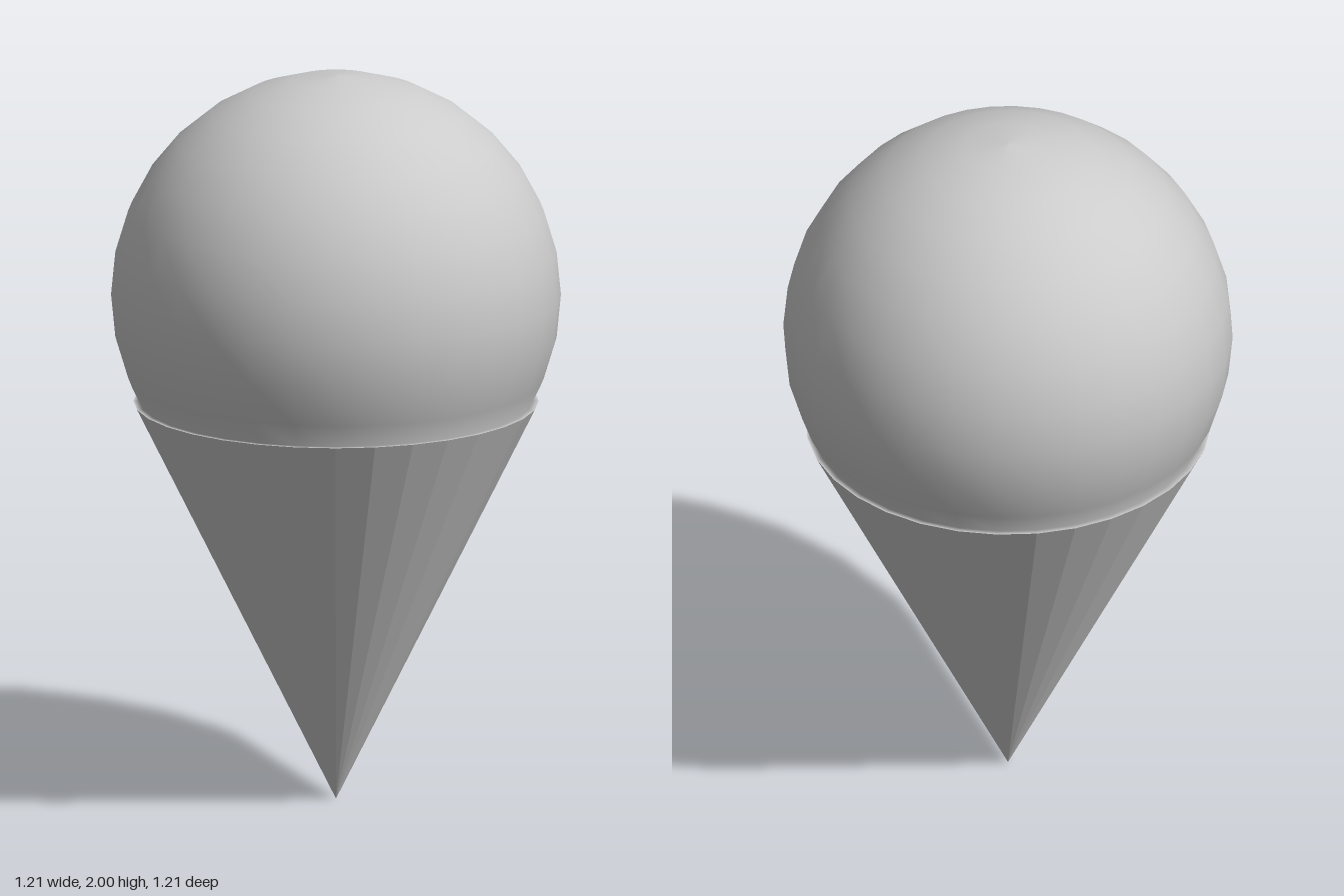
import * as THREE from 'three';

const SIDES = 32;
const RIM_Y = 1.1, RIM_R = 0.545;
const BALL_R = 0.605, BALL_Y = 2 - BALL_R;

export function createModel() {
  const group = new THREE.Group();
  group.name = 'iceCreamCone';

  // Pointed, faceted cone, tip down
  const coneGeometry = new THREE.ConeGeometry(RIM_R, RIM_Y, SIDES, 1, true);
  coneGeometry.rotateX(Math.PI).translate(0, RIM_Y / 2, 0);
  const cone = new THREE.Mesh(coneGeometry, new THREE.MeshStandardMaterial({
    color: 0xcccccc, flatShading: true, side: THREE.DoubleSide,
  }));
  cone.name = 'cone';

  // Smooth scoop: narrow flat lip on the rim, then a ball up to the pole
  const lipR = Math.sqrt(BALL_R ** 2 - (BALL_Y - RIM_Y) ** 2);
  const profile = [new THREE.Vector2(RIM_R, RIM_Y), new THREE.Vector2(lipR, RIM_Y)];
  for (let i = -2; i <= 8; i++) {
    const a = (i * Math.PI) / 16;
    profile.push(new THREE.Vector2(i === 8 ? 0 : BALL_R * Math.cos(a), BALL_Y + BALL_R * Math.sin(a)));
  }
  const scoop = new THREE.Mesh(
    new THREE.LatheGeometry(profile, SIDES),
    new THREE.MeshStandardMaterial({ color: 0xcccccc }),
  );
  scoop.name = 'scoop';

  group.add(cone, scoop);
  return group;
}
